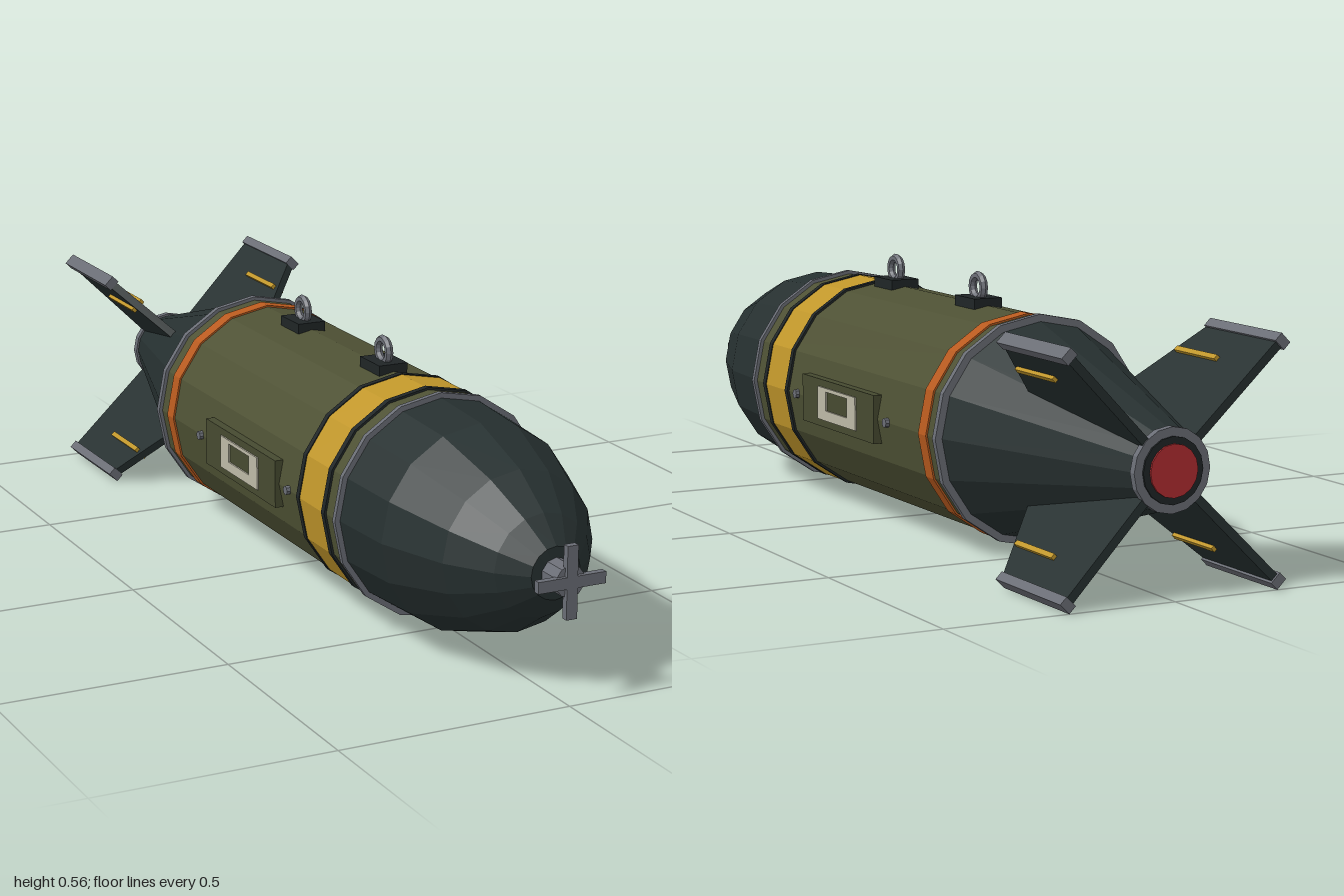
import * as THREE from 'three';

const AXIS_Y = 0.2535; // height of the long axis
const SIDES = 16;

function paint(name, color) {
  const m = new THREE.MeshStandardMaterial({ color, flatShading: true });
  m.name = name;
  return m;
}

export function createModel() {
  const olive = paint('olive', 0x4e5134);
  const darkOlive = paint('dark olive', 0x464a30);
  const dark = paint('dark green grey', 0x263030);
  const black = paint('near black', 0x1f2526);
  const yellow = paint('yellow', 0xc0962a);
  const orange = paint('orange', 0xb85a1e);
  const grey = paint('grey', 0x6a6d75);
  const red = paint('red', 0xb02c30);
  const pale = paint('pale stencil', 0xbdb9a6);

  const model = new THREE.Group();
  model.name = 'bomb';
  const shell = new THREE.Group(); // centred on the long axis
  shell.name = 'shell';
  shell.position.y = AXIS_Y;
  model.add(shell);

  const add = (name, geometry, material, parent = shell) => {
    const mesh = new THREE.Mesh(geometry, material);
    mesh.name = name;
    parent.add(mesh);
    return mesh;
  };
  // Turned part along z, from [radius, z] pairs with z increasing
  const turned = (name, profile, material, sides = SIDES) => {
    const points = profile.map(([r, z]) => new THREE.Vector2(r, z));
    return add(name, new THREE.LatheGeometry(points, sides).rotateX(Math.PI / 2), material);
  };
  const band = (name, z0, z1, r, material, sides = SIDES) =>
    turned(name, [[0, z0], [r, z0], [r, z1], [0, z1]], material, sides);
  const box = (name, size, pos, material, parent = shell) => {
    const mesh = add(name, new THREE.BoxGeometry(...size), material, parent);
    mesh.position.set(...pos);
    return mesh;
  };

  // Casing
  band('body', -0.455, 0.46, 0.235, olive);
  turned('noseCone', [[0.232, 0.455], [0.222, 0.63], [0.17, 0.79], [0.108, 0.885], [0.055, 0.937], [0, 0.94]], dark);
  turned('tailCone', [[0, -0.975], [0.078, -0.975], [0.23, -0.455]], dark);

  // Painted bands and joint rings
  band('yellowBand', 0.285, 0.395, 0.238, yellow);
  band('frontBandEdge', 0.393, 0.408, 0.24, black);
  band('rearBandEdge', 0.274, 0.288, 0.24, black);
  band('orangeBand', -0.413, -0.378, 0.239, orange);
  band('frontRing', 0.452, 0.464, 0.243, grey);
  band('rearRing', -0.464, -0.45, 0.243, grey);

  // Tail end
  band('tailCollar', -0.984, -0.968, 0.085, grey);
  band('tailPlug', -0.988, -0.97, 0.067, black);
  band('tailLight', -0.992, -0.975, 0.053, red);

  // Nose fuze with crossed vanes
  band('fuzeHub', 0.93, 0.992, 0.033, grey, 10);
  box('vaneAcross', [0.15, 0.024, 0.015], [0, 0, 0.9925], grey);
  box('vaneUpright', [0.024, 0.15, 0.015], [0, 0, 0.9925], grey);

  // Four diagonal fins, each with a tip plate and a stripe on both sides
  const outline = new THREE.Shape([[-0.98, 0.06], [-0.605, 0.11], [-0.745, 0.327], [-0.995, 0.327]]
    .map(([z, r]) => new THREE.Vector2(-z, r)));
  const finGeometry = new THREE.ExtrudeGeometry(outline, { depth: 0.018, bevelEnabled: false })
    .translate(0, 0, -0.009).rotateY(Math.PI / 2);
  for (let i = 0; i < 4; i++) {
    const fin = new THREE.Group();
    fin.name = 'fin' + (i + 1);
    fin.rotation.z = Math.PI / 4 + i * Math.PI / 2;
    add('finBlade', finGeometry, dark, fin);
    box('finTip', [0.028, 0.02, 0.257], [0, 0.334, -0.8715], grey, fin);
    box('finStripe', [0.034, 0.011, 0.15], [0, 0.257, -0.79], yellow, fin);
    shell.add(fin);
  }

  // Lifting lugs on top
  for (const z of [0.205, -0.19]) {
    const lug = new THREE.Group();
    lug.name = 'liftingLug';
    lug.position.set(0, 0, z);
    box('lugBase', [0.066, 0.03, 0.09], [0, 0.236, 0], black, lug);
    const eye = add('lugEye', new THREE.TorusGeometry(0.025, 0.009, 6, 14).rotateY(Math.PI / 2), grey, lug);
    eye.position.y = 0.271;
    shell.add(lug);
  }

  // Access panels with a pale frame and two bolts, on both sides
  for (const s of [1, -1]) {
    const panel = new THREE.Group();
    panel.name = s > 0 ? 'leftPanel' : 'rightPanel';
    box('panelPlate', [0.03, 0.104, 0.36], [s * 0.229, 0, 0], darkOlive, panel);
    for (const e of [1, -1]) {
      box('frameEnd', [0.006, 0.072, 0.042], [s * 0.2445, 0, e * 0.074], pale, panel);
      const bolt = add('panelBolt', new THREE.CylinderGeometry(0.01, 0.01, 0.016, 8).rotateZ(Math.PI / 2), grey, panel);
      bolt.position.set(s * 0.235, 0, e * 0.227);
    }
    box('frameBottom', [0.006, 0.022, 0.19], [s * 0.2445, -0.025, 0], pale, panel);
    box('frameTop', [0.006, 0.008, 0.19], [s * 0.2445, 0.032, 0], pale, panel);
    shell.add(panel);
  }

  return model;
}
